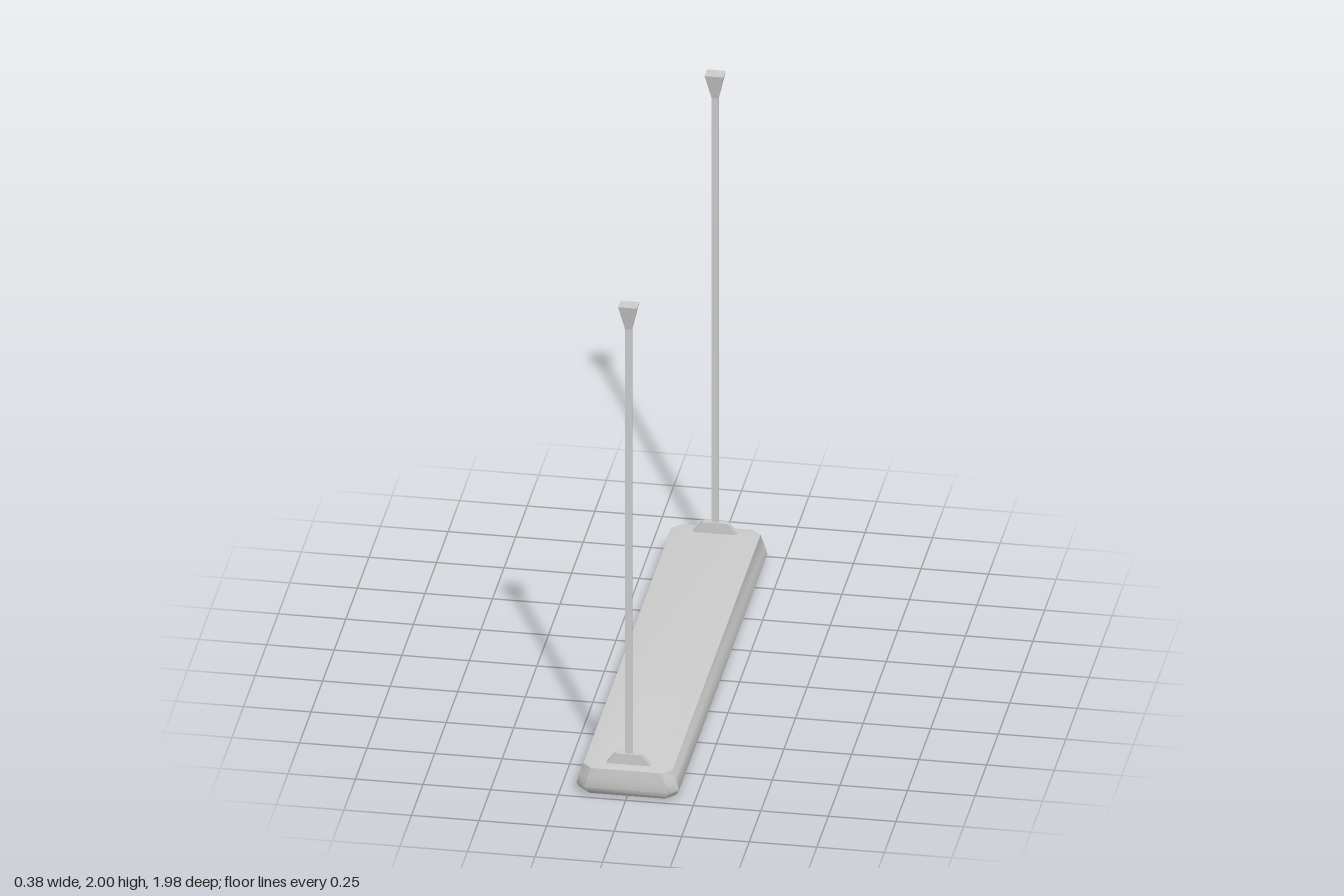
import * as THREE from 'three';
import { toCreasedNormals } from 'three/addons/utils/BufferGeometryUtils.js';

const material = new THREE.MeshStandardMaterial({ color: 0xcccccc });

function addMesh(parent, name, geometry, x = 0, y = 0, z = 0) {
  const mesh = new THREE.Mesh(geometry, material);
  mesh.name = name;
  mesh.position.set(x, y, z);
  parent.add(mesh);
  return mesh;
}

// Rectangle with cut corners; increasing angle from +x towards +z
function ring([y, w, l, c]) {
  return [
    [w, -l + c], [w, l - c], [w - c, l], [-w + c, l],
    [-w, l - c], [-w, -l + c], [-w + c, -l], [w - c, -l],
  ].map(([x, z]) => [x, y, z]);
}

// Closed skin over a stack of rings, capped at the first and last
function loft(sections) {
  const n = 8, last = (sections.length - 1) * n, index = [];
  for (let i = 0; i < sections.length - 1; i++) {
    for (let j = 0; j < n; j++) {
      const a = i * n + j, b = i * n + (j + 1) % n;
      index.push(a, b, a + n, b, b + n, a + n);
    }
  }
  for (let j = 1; j < n - 1; j++) {
    index.push(0, j + 1, j, last, last + j, last + j + 1);
  }
  const geometry = new THREE.BufferGeometry();
  geometry.setAttribute('position', new THREE.Float32BufferAttribute(sections.flatMap(ring).flat(), 3));
  geometry.setIndex(index);
  return toCreasedNormals(geometry, 0.75);
}

// Box whose lower end is narrowed
function taperedBox(topW, topD, bottomW, bottomD, height) {
  const geometry = new THREE.BoxGeometry(topW, height, topD);
  const p = geometry.attributes.position;
  for (let i = 0; i < p.count; i++) {
    if (p.getY(i) < 0) {
      p.setX(i, p.getX(i) * bottomW / topW);
      p.setZ(i, p.getZ(i) * bottomD / topD);
    }
  }
  geometry.computeVertexNormals();
  return geometry;
}

export function createModel() {
  const model = new THREE.Group();
  model.name = 'hangingTubeLight';

  // Housing: top, flared sides, rolled lower rim, then up into the recess
  // Each row: height, half width, half length, corner cut
  addMesh(model, 'housing', loft([
    [0.118, 0.13, 0.96, 0.03],
    [0.114, 0.165, 0.985, 0.035],
    [0.075, 0.178, 0.988, 0.035],
    [0.035, 0.19, 0.988, 0.035],
    [0.018, 0.183, 0.983, 0.035],
    [0.005, 0.17, 0.972, 0.032],
    [0.0, 0.155, 0.958, 0.03],
    [0.004, 0.14, 0.94, 0.025],
    [0.02, 0.13, 0.93, 0.02],
    [0.09, 0.11, 0.915, 0.015],
  ]));

  // Pair of lamps in the recess
  for (const side of [1, -1]) {
    const lamp = new THREE.CylinderGeometry(0.027, 0.027, 1.86, 16).rotateX(Math.PI / 2);
    addMesh(model, side > 0 ? 'leftLamp' : 'rightLamp', lamp, side * 0.058, 0.043, 0);
  }

  // Bracket outline
  const outline = new THREE.Shape([
    [-0.08, 0.11], [0.08, 0.11], [0.08, 0.12], [0.052, 0.155],
    [0.045, 0.161], [-0.045, 0.161], [-0.052, 0.155], [-0.08, 0.12],
  ].map(([x, y]) => new THREE.Vector2(x, y)));

  // Hanger at each end: bracket, flat rod and flared ceiling mount
  for (const end of [1, -1]) {
    const hanger = new THREE.Group();
    hanger.name = end > 0 ? 'frontHanger' : 'backHanger';
    hanger.position.z = end * 0.934;
    model.add(hanger);
    const bracket = new THREE.ExtrudeGeometry(outline, { depth: 0.022, bevelEnabled: false });
    addMesh(hanger, 'bracket', bracket.translate(0, 0, -0.011));
    addMesh(hanger, 'rod', new THREE.BoxGeometry(0.026, 1.76, 0.008), 0, 1.03, 0);
    addMesh(hanger, 'ceilingMount', taperedBox(0.07, 0.054, 0.026, 0.008, 0.1), 0, 1.95, 0);
  }
  return model;
}
